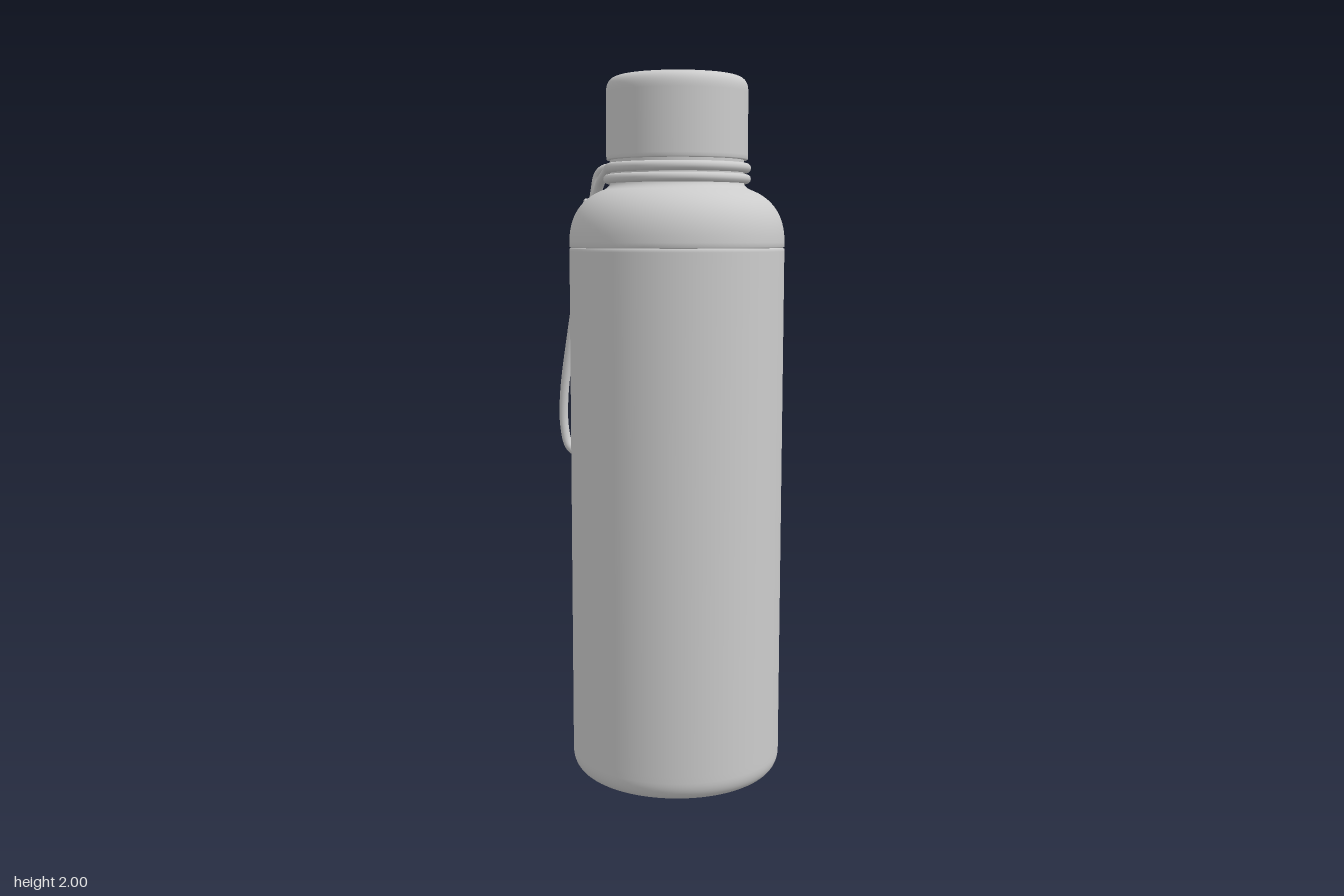
import * as THREE from 'three';

const material = new THREE.MeshStandardMaterial({ color: 0xcccccc, side: THREE.DoubleSide });
const AXIS_X = 0.075;

function addMesh(parent, name, geometry) {
  const mesh = new THREE.Mesh(geometry, material);
  mesh.name = name;
  parent.add(mesh);
  return mesh;
}

// Revolves a 2D path (radius, height) drawn from bottom to top
function addLathe(parent, name, path) {
  return addMesh(parent, name, new THREE.LatheGeometry(path.getPoints(12), 96));
}

const vec = (p) => new THREE.Vector3(...p);

function addRope(parent, name, points, radius, closed = false) {
  const curve = new THREE.CatmullRomCurve3(points, closed, 'centripetal');
  return addMesh(parent, name, new THREE.TubeGeometry(curve, 200, radius, 12, closed));
}

export function createModel() {
  const model = new THREE.Group();
  model.name = 'waterBottle';

  const bottle = new THREE.Group();
  bottle.name = 'bottle';
  bottle.position.x = AXIS_X;
  model.add(bottle);

  // Body with recessed base and rounded bottom edge
  const body = new THREE.Path();
  body.moveTo(0, 0.02);
  body.lineTo(0.19, 0.02);
  body.lineTo(0.2, 0.019);
  body.bezierCurveTo(0.215, 0.016, 0.215, 0, 0.235, 0);
  body.lineTo(0.245, 0);
  body.bezierCurveTo(0.28, 0, 0.303, 0.02, 0.303, 0.06);
  body.lineTo(0.303, 0.08);
  body.lineTo(0.303, 1.515);
  body.lineTo(0.303, 1.522);
  body.lineTo(0.299, 1.525);
  addLathe(bottle, 'body', body);

  // Shoulder above the seam, running up into the neck
  const shoulder = new THREE.Path();
  shoulder.moveTo(0.299, 1.525);
  shoulder.lineTo(0.303, 1.528);
  shoulder.lineTo(0.303, 1.54);
  shoulder.bezierCurveTo(0.303, 1.615, 0.268, 1.66, 0.215, 1.682);
  shoulder.quadraticCurveTo(0.19, 1.69, 0.187, 1.705);
  shoulder.lineTo(0.187, 1.775);
  addLathe(bottle, 'shoulder', shoulder);

  // Raised bead around the neck
  const bead = addMesh(bottle, 'neckBead', new THREE.TorusGeometry(0.194, 0.013, 12, 96));
  bead.rotation.x = Math.PI / 2;
  bead.position.y = 1.715;

  // Cap with softened rim
  const cap = new THREE.Path();
  cap.moveTo(0.18, 1.767);
  cap.lineTo(0.195, 1.767);
  cap.lineTo(0.198, 1.77);
  cap.lineTo(0.198, 1.78);
  cap.lineTo(0.198, 1.95);
  cap.bezierCurveTo(0.198, 1.982, 0.186, 1.994, 0.155, 1.997);
  cap.quadraticCurveTo(0.13, 2, 0.1, 2);
  cap.lineTo(0, 2);
  addLathe(bottle, 'cap', cap);

  const strap = new THREE.Group();
  strap.name = 'strap';
  model.add(strap);

  // Cord wrapped round the neck, both ends running down into the clasp
  const neckCord = [[-0.246, 1.6, 0.012], [-0.215, 1.67, 0.014], [-0.185, 1.708, 0.03], [-0.1, 1.737, 0.098]].map(vec);
  for (let i = 0; i <= 32; i++) {
    const a = THREE.MathUtils.lerp(2.2, -2.95, i / 32);
    neckCord.push(new THREE.Vector3(AXIS_X + 0.194 * Math.cos(a), 1.745, 0.194 * Math.sin(a)));
  }
  neckCord.push(...[[-0.145, 1.75, -0.006], [-0.19, 1.752, 0], [-0.217, 1.735, 0], [-0.23, 1.69, 0], [-0.246, 1.6, 0]].map(vec));
  addRope(strap, 'neckCord', neckCord, 0.0135);

  // Hanging carry loop
  addRope(strap, 'carryLoop', [
    [-0.25, 1.6, 0], [-0.275, 1.51, 0], [-0.327, 1.27, 0], [-0.36, 1.08, 0], [-0.361, 0.98, 0],
    [-0.343, 0.92, 0], [-0.314, 0.904, 0], [-0.279, 0.925, 0], [-0.256, 0.99, 0], [-0.251, 1.08, 0],
    [-0.257, 1.3, 0], [-0.267, 1.51, 0],
  ].map(vec), 0.0135, true);

  // Tilted tubular clasp, open at both ends
  const claspProfile = [
    [0.027, -0.052], [0.034, -0.052], [0.037, -0.049], [0.037, 0.049],
    [0.034, 0.052], [0.027, 0.052], [0.025, 0.049], [0.025, -0.049], [0.027, -0.052],
  ].map(([r, y]) => new THREE.Vector2(r, y));
  const clasp = addMesh(strap, 'clasp', new THREE.LatheGeometry(claspProfile, 32));
  clasp.position.set(-0.241, 1.608, 0);
  clasp.rotation.z = -0.3;

  return model;
}
